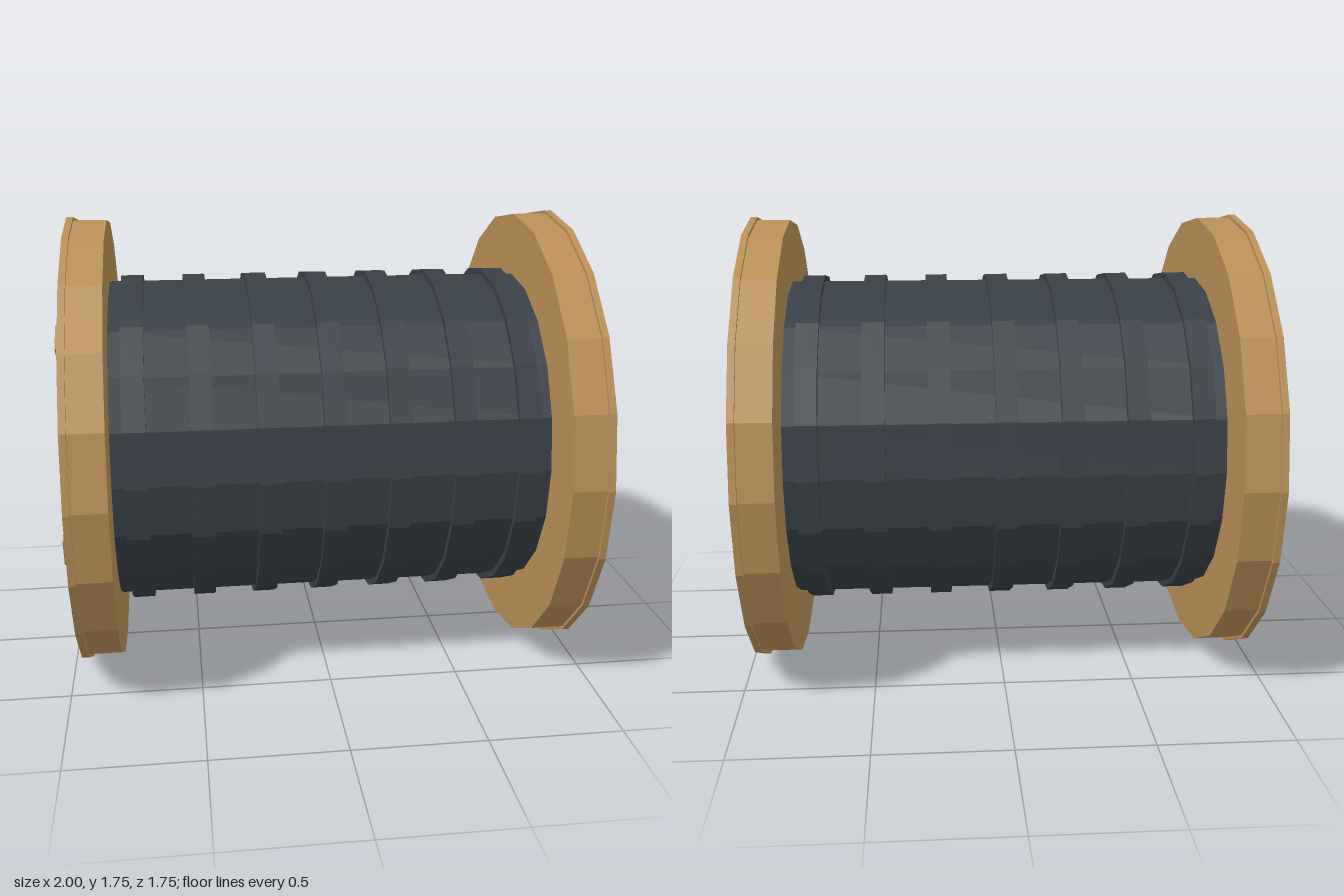
import * as THREE from 'three';

const AXIS_Y = 0.877;

export function createModel() {
  const model = new THREE.Group();
  model.name = 'cableSpool';

  const material = (name, color) => {
    const m = new THREE.MeshStandardMaterial({ color, flatShading: true });
    m.name = name;
    return m;
  };
  const wood = material('wood', 0xb98f57);
  const cable = material('cable', 0x383f46);
  const darkWood = material('darkWood', 0x5c4839);

  // Faceted disc lying along the x axis, from x0 to x1
  const disc = (name, parent, radius, x0, x1, sides, mat) => {
    const geometry = new THREE.CylinderGeometry(radius, radius, Math.abs(x1 - x0), sides);
    geometry.rotateZ(Math.PI / 2);
    const mesh = new THREE.Mesh(geometry, mat);
    mesh.name = name;
    mesh.position.set((x0 + x1) / 2, AXIS_Y, 0);
    parent.add(mesh);
    return mesh;
  };

  // Wound cable with seven raised bands
  const winding = new THREE.Group();
  winding.name = 'winding';
  model.add(winding);
  disc('cableCore', winding, 0.627, -0.8, 0.8, 20, cable);
  for (let i = -3; i <= 3; i++) {
    const x = i * 0.238;
    disc('cableBand', winding, 0.65, x - 0.041, x + 0.041, 20, cable);
  }

  // Both ends: flange, rim plate, radial slats and hub cap
  for (const side of [1, -1]) {
    const end = new THREE.Group();
    end.name = side > 0 ? 'leftEnd' : 'rightEnd';
    model.add(end);
    disc('flange', end, 0.865, side * 0.8, side * 0.926, 20, wood);
    disc('rimPlate', end, 0.877, side * 0.925, side * 0.95, 20, wood);
    disc('hubCap', end, 0.16, side * 0.94, side * 1.0, 10, darkWood);

    for (let i = 0; i < 6; i++) {
      const angle = THREE.MathUtils.degToRad(45 + i * 60); // from +z towards +y
      const slat = new THREE.Mesh(new THREE.BoxGeometry(0.03, 0.1, 0.575), wood);
      slat.name = 'slat';
      slat.position.set(side * 0.954, AXIS_Y + Math.sin(angle) * 0.4625, Math.cos(angle) * 0.4625);
      slat.rotation.x = -angle;
      end.add(slat);
    }
  }

  return model;
}
